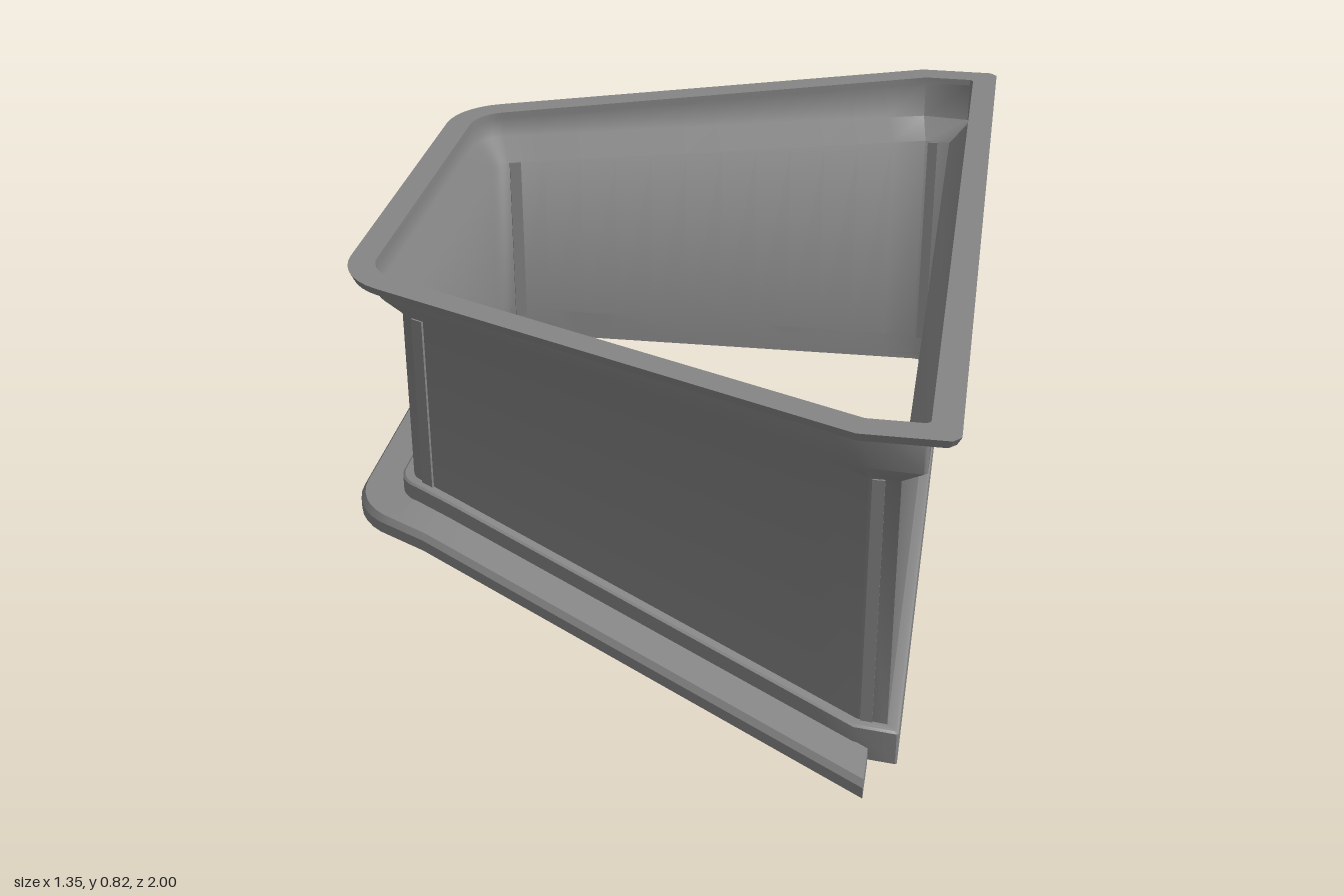
import * as THREE from 'three';
import { toCreasedNormals } from 'three/addons/utils/BufferGeometryUtils.js';

const grey = new THREE.MeshStandardMaterial({ color: 0x858585, side: THREE.DoubleSide });
grey.name = 'grey metal';

// Plan outline: each point has a position and the vector it moves along when offset by d
const TILT = 0.392;
const nx = -Math.sin(TILT), nz = Math.cos(TILT);
const SIDE_Z = 0.857, SIDE_X = 0.503, LEFT_X = -0.55, R = 0.05;
const sideZ = x => SIDE_Z + (x - SIDE_X) * Math.tan(TILT);

function leftHalf() {
  const pts = [];
  const cx = LEFT_X + R;
  const cz = sideZ(cx) - R / nz;
  const tx = cx + nx * R;
  for (let i = 1; i < 12; i++) {
    const x = THREE.MathUtils.lerp(SIDE_X, tx, i / 12);
    pts.push([x, sideZ(x), nx, nz]);
  }
  for (let i = 0; i <= 7; i++) {
    const a = THREE.MathUtils.lerp(Math.PI / 2 + TILT, Math.PI, i / 7);
    pts.push([cx + R * Math.cos(a), cz + R * Math.sin(a), Math.cos(a), Math.sin(a)]);
  }
  return pts;
}
const mirrored = half => [...half, ...half.slice().reverse().map(([x, z, u, v]) => [x, -z, u, -v])];

const ringPath = mirrored([
  [0.565, SIDE_Z, 1, 0.85], [0.565, SIDE_Z, 0.85, 1],
  [SIDE_X, SIDE_Z, -Math.tan(TILT / 2), 1], ...leftHalf(),
]);
const flangePath = mirrored([
  [0.53, sideZ(0.53), 0, 1 / nz], [SIDE_X, SIDE_Z, nx, nz], ...leftHalf(),
]);

// Height rules: the foot slopes down to the right between two level ends
const foot = h => x => h + 0.215 * THREE.MathUtils.clamp((0.535 - x) / 1.05, 0, 1);
const level = h => () => h;
const neck = h => x => h - 0.04 * x;

// Sweep a profile of [offset, heightRule] along a path
function sweep(name, path, profile, { closedPath = true, closedProfile = true, crease = 0.6 } = {}) {
  const pos = [], idx = [], n = profile.length, m = path.length;
  for (const [x, z, u, v] of path) {
    for (const [d, y] of profile) {
      const px = x + u * d;
      pos.push(px, y(px), z + v * d);
    }
  }
  for (let i = 0; i < (closedPath ? m : m - 1); i++) {
    const k = (i + 1) % m;
    for (let j = 0; j < (closedProfile ? n : n - 1); j++) {
      const l = (j + 1) % n;
      idx.push(i * n + j, i * n + l, k * n + l, i * n + j, k * n + l, k * n + j);
    }
  }
  // end caps
  if (!closedPath) {
    const e = (m - 1) * n;
    for (let j = 1; j < n - 1; j++) idx.push(0, j + 1, j, e, e + j, e + j + 1);
  }
  const geo = new THREE.BufferGeometry();
  geo.setAttribute('position', new THREE.Float32BufferAttribute(pos, 3));
  geo.setIndex(idx);
  const mesh = new THREE.Mesh(toCreasedNormals(geo, crease), grey);
  mesh.name = name;
  return mesh;
}

export function createModel() {
  const model = new THREE.Group();
  model.name = 'flaredDuct';

  // thin wall flaring into a collar
  model.add(sweep('wall', ringPath, [
    [0, foot(0.02)], [0, neck(0.683)], [0.05, neck(0.733)], [0.05, level(0.805)],
  ], { closedProfile: false, crease: 0.85 }));

  // flat rim on top
  model.add(sweep('topRim', ringPath, [
    [0.05, level(0.8)], [0.1, level(0.8)], [0.109, level(0.82)], [0.05, level(0.82)],
  ]));

  // stepped skirt around the foot
  model.add(sweep('skirt', ringPath, [
    [0, foot(0.025)], [0.012, foot(0.025)], [0.012, foot(0)], [0.025, foot(0)],
    [0.025, foot(0.076)], [0.02, foot(0.08)], [0, foot(0.08)],
  ]));

  // foot flange on three sides, open on the right
  model.add(sweep('footFlange', flangePath, [
    [0.022, foot(0)], [0.122, foot(0)], [0.122, foot(0.026)], [0.112, foot(0.04)], [0.022, foot(0.04)],
  ], { closedPath: false }));

  // upright corner strips
  for (const s of [1, -1]) {
    const left = new THREE.Mesh(new THREE.BoxGeometry(0.028, 0.43, 0.012), grey);
    left.name = 'leftCornerStrip';
    left.position.set(-0.503, 0.49, s * sideZ(-0.503));
    left.rotation.y = -s * TILT;
    const right = new THREE.Mesh(new THREE.BoxGeometry(0.025, 0.58, 0.008), grey);
    right.name = 'rightCornerStrip';
    right.position.set(0.522, 0.37, s * SIDE_Z);
    model.add(left, right);
  }
  return model;
}
